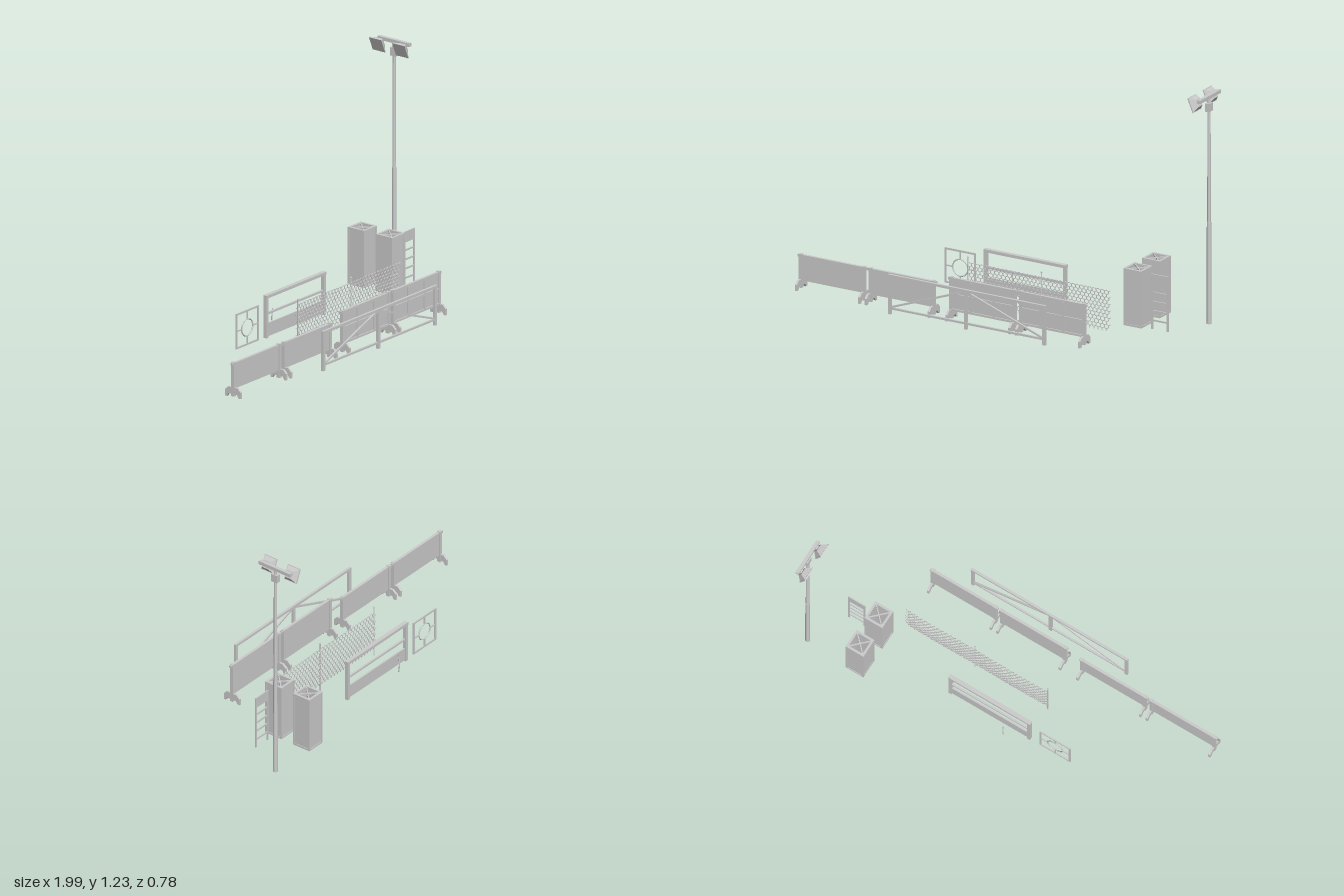
import * as THREE from 'three';
import { mergeGeometries } from 'three/addons/utils/BufferGeometryUtils.js';

const mat = new THREE.MeshStandardMaterial({ color: 0xcccccc, flatShading: true, side: THREE.DoubleSide });

function add(parent, name, geo) {
  const m = new THREE.Mesh(geo, mat);
  m.name = name;
  parent.add(m);
  return m;
}
function group(parent, name) {
  const g = new THREE.Group();
  g.name = name;
  parent.add(g);
  return g;
}
// Box given by its extents in x and y, a centre z and a depth
function slab(parent, name, x0, x1, y0, y1, z, d) {
  const m = add(parent, name, new THREE.BoxGeometry(x1 - x0, y1 - y0, d));
  m.position.set((x0 + x1) / 2, (y0 + y1) / 2, z);
  return m;
}
// Square bar between two points
function barGeo(a, b, w, d = w) {
  const len = a.distanceTo(b);
  const g = new THREE.BoxGeometry(w, d, len);
  const o = new THREE.Object3D();
  o.position.copy(a).add(b).multiplyScalar(0.5);
  o.lookAt(b);
  o.updateMatrix();
  return g.applyMatrix4(o.matrix);
}
const v = (x, y, z) => new THREE.Vector3(x, y, z);

// Arched foot crossing below a barrier post
function footGeo() {
  const pts = [[-0.048, 0.04], [-0.048, 0.072], [-0.03, 0.09], [0.03, 0.09], [0.048, 0.072],
    [0.048, 0.04], [0.036, 0.04], [0.027, 0.056], [-0.027, 0.056], [-0.036, 0.04]];
  const s = new THREE.Shape(pts.map(p => new THREE.Vector2(...p)));
  return new THREE.ExtrudeGeometry(s, { depth: 0.012, bevelEnabled: false })
    .translate(0, 0, -0.006).rotateY(Math.PI / 2);
}

// Two panels side by side, each with end posts and feet
function barrier(root, name, start, top, braced) {
  const g = group(root, name), z = 0.28, w = 0.388;
  for (let i = 0; i < 2; i++) {
    const x0 = start + i * (w + 0.006), x1 = x0 + w;
    slab(g, 'panel', x0 + 0.01, x1 - 0.01, 0.082, top - 0.005, z, 0.006);
    slab(g, 'topRail', x0, x1, top - 0.012, top, z, 0.014);
    for (const x of [x0 + 0.016, x1 - 0.016]) {
      slab(g, 'post', x - 0.008, x + 0.008, 0.045, top + 0.003, z, 0.018);
      add(g, 'foot', footGeo()).position.set(x, 0, z);
    }
    if (!braced) continue;
    // Ribs on the front face
    for (const y of [0.09, 0.168]) slab(g, 'rib', x0 + 0.02, x1 - 0.02, y - 0.005, y + 0.005, z + 0.005, 0.008);
    for (const t of [1 / 3, 2 / 3]) {
      const x = x0 + w * t;
      slab(g, 'stile', x - 0.006, x + 0.006, 0.085, top - 0.01, z + 0.005, 0.008);
    }
  }
}

// Open railing with diagonal braces
function railing(root) {
  const g = group(root, 'bracedRailing'), z = 0.386;
  for (const x of [-0.415, 0.015, 0.458]) slab(g, 'post', x - 0.008, x + 0.008, 0.045, 0.247, z, 0.013);
  slab(g, 'topRail', -0.422, 0.468, 0.235, 0.248, z, 0.013);
  slab(g, 'bottomRail', -0.415, 0.458, 0.07, 0.08, z, 0.01);
  for (const x of [-0.41, 0.45]) add(g, 'diagonal', barGeo(v(x, 0.08, z), v(0.015, 0.238, z), 0.009));
}

// Sagging honeycomb net held by slim stakes
function net(root) {
  const g = group(root, 'netFence');
  const p = (x, y) => v(x, y, 0.043 - 0.014 *
    Math.sin(Math.PI * Math.min(1, Math.max(0, (y - 0.03) / 0.24))) *
    (0.35 + 0.65 * Math.abs(Math.sin(Math.PI * (x + 0.18) / 0.41))));
  const w = 0.0235, h = 0.0175, parts = [];
  for (let r = 0; r < 12; r++) {
    for (let c = 0; c < 34; c++) {
      const x = -0.176 + (c + (r % 2) * 0.5) * w, y = 0.05 + r * h;
      const low = p(x, y), left = p(x - w / 2, y + h * 0.35), right = p(x + w / 2, y + h * 0.35);
      parts.push(barGeo(low, left, 0.0035, 0.0035), barGeo(low, right, 0.0035, 0.0035));
      parts.push(barGeo(low, p(x, y - h * 0.65), 0.0035, 0.0035));
    }
  }
  add(g, 'mesh', mergeGeometries(parts));
  for (const x of [-0.18, 0.235]) {
    add(g, 'stake', new THREE.CylinderGeometry(0.003, 0.003, 0.275, 8)).position.set(x, 0.1375, 0.044);
    add(g, 'stakeCap', new THREE.SphereGeometry(0.005, 8, 6)).position.set(x, 0.275, 0.044);
  }
}

// Rear guard rail with a toe board
function guardRail(root) {
  const g = group(root, 'guardRail'), z = -0.142;
  for (const x of [-0.191, 0.256]) slab(g, 'post', x - 0.008, x + 0.008, 0.042, 0.26, z, 0.018);
  slab(g, 'topRail', -0.2, 0.265, 0.245, 0.26, z, 0.022);
  slab(g, 'midRail', -0.19, 0.255, 0.16, 0.17, z, 0.01);
  slab(g, 'toeBoard', -0.19, 0.255, 0.048, 0.115, z, 0.008);
  // Slim bowed handle standing behind
  const curve = new THREE.CatmullRomCurve3([v(-0.075, 0.053, -0.194), v(-0.075, 0.1, -0.199), v(-0.075, 0.15, -0.194)]);
  add(root, 'bowedRod', new THREE.TubeGeometry(curve, 10, 0.003, 6));
}

// Thin square frame with a ring held by four spokes
function ringFrame(root) {
  const g = group(root, 'ringFrame'), z = -0.143, d = 0.006;
  const x0 = -0.425, x1 = -0.25, y0 = 0.045, y1 = 0.225, cx = (x0 + x1) / 2, cy = (y0 + y1) / 2, r = 0.043;
  for (const x of [x0, x1 - 0.009]) slab(g, 'side', x, x + 0.009, y0, y1, z, d);
  for (const y of [y0, y1 - 0.009]) slab(g, 'crosspiece', x0, x1, y, y + 0.009, z, d);
  add(g, 'ring', new THREE.TorusGeometry(r, 0.0035, 6, 24)).position.set(cx, cy, z);
  slab(g, 'spoke', x0, cx - r, cy - 0.003, cy + 0.003, z, d);
  slab(g, 'spoke', cx + r, x1, cy - 0.003, cy + 0.003, z, d);
  slab(g, 'spoke', cx - 0.003, cx + 0.003, y0, cy - r, z, d);
  slab(g, 'spoke', cx - 0.003, cx + 0.003, cy + r, y1, z, d);
}

// Hollow upright bin with cross braces at both ends
function bin(root, z) {
  const g = group(root, 'bracedBin');
  g.position.set(0.703, 0, z);
  const h = 0.046, y0 = 0.057, y1 = 0.347;
  for (const s of [-1, 1]) {
    slab(g, 'wall', -h, h, y0, y1, s * h, 0.004);
    slab(g, 'wall', s * h - 0.002, s * h + 0.002, y0, y1, 0, 2 * h);
    for (const t of [-1, 1]) slab(g, 'cornerPost', s * h - 0.005, s * h + 0.005, y0, y1, t * h, 0.01);
  }
  for (const y of [y0, y1 - 0.008]) {
    for (const s of [-1, 1]) {
      slab(g, 'rim', -0.051, 0.051, y, y + 0.01, s * 0.045, 0.012);
      slab(g, 'rim', s * 0.045 - 0.006, s * 0.045 + 0.006, y, y + 0.01, 0, 0.102);
      add(g, 'brace', barGeo(v(-h, y + 0.004, -s * h), v(h, y + 0.004, s * h), 0.006));
    }
  }
}

// Ladder with a plate at the top
function ladder(root) {
  const g = group(root, 'ladder'), z = -0.074, d = 0.006;
  for (const x of [0.785, 0.873]) slab(g, 'rail', x, x + 0.009, 0.05, 0.332, z, d);
  slab(g, 'topPlate', 0.79, 0.878, 0.277, 0.332, z, d);
  for (const y of [0.095, 0.143, 0.19, 0.237]) slab(g, 'rung', 0.79, 0.878, y - 0.004, y + 0.004, z, d);
}

// Tall mast with two tilted floodlights
function lightMast(root) {
  const g = group(root, 'lightMast'), x = 0.985, z = -0.281;
  add(g, 'lowerMast', new THREE.CylinderGeometry(0.011, 0.012, 0.52, 12)).position.set(x, 0.31, z);
  add(g, 'upperMast', new THREE.CylinderGeometry(0.008, 0.009, 0.65, 12)).position.set(x, 0.89, z);
  slab(g, 'bracket', x - 0.011, x + 0.011, 1.14, 1.182, z, 0.036);
  slab(g, 'crossBar', x - 0.009, x + 0.009, 1.205, 1.223, z, 0.195);
  for (const lz of [-0.211, -0.354]) {
    const lamp = group(g, 'floodlight');
    lamp.position.set(0.958, 1.197, lz);
    lamp.rotation.z = Math.PI / 2 + 0.4;
    const k = Math.SQRT1_2 * 2;
    // Local +y points out of the lamp
    add(lamp, 'housing', new THREE.CylinderGeometry(0.037 * k, 0.019 * k, 0.03, 4).rotateY(Math.PI / 4));
    const rim = add(lamp, 'lensRim', new THREE.BoxGeometry(0.076, 0.006, 0.076));
    rim.position.y = 0.014;
    const mount = add(lamp, 'mount', new THREE.BoxGeometry(0.012, 0.02, 0.02));
    mount.position.y = -0.018;
  }
}

export function createModel() {
  const root = new THREE.Group();
  root.name = 'siteBarriers';
  barrier(root, 'plainBarrier', -0.997, 0.215, false);
  barrier(root, 'ribbedBarrier', -0.147, 0.253, true);
  railing(root);
  net(root);
  guardRail(root);
  ringFrame(root);
  for (const z of [-0.082, -0.255]) bin(root, z);
  ladder(root);
  lightMast(root);
  return root;
}
